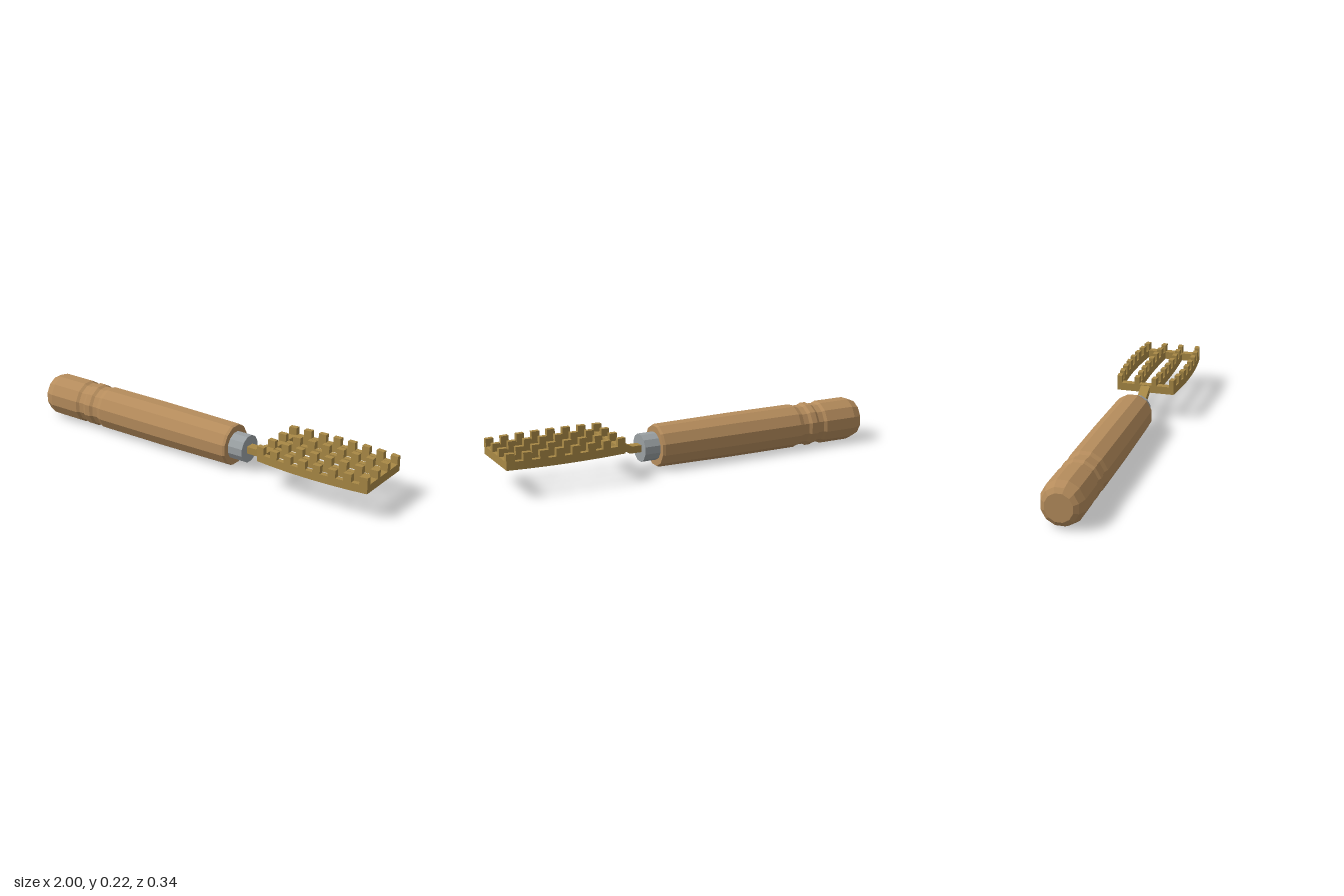
import * as THREE from 'three';
import { mergeGeometries } from 'three/addons/utils/BufferGeometryUtils.js';

const AXIS_Y = 0.108;

function flatMaterial(name, color) {
  const material = new THREE.MeshStandardMaterial({ color, flatShading: true });
  material.name = name;
  return material;
}

// Twelve-sided turned part along x; profile is [x, distance from axis to flat]
function turned(profile) {
  const k = 1 / Math.cos(Math.PI / 12);
  const points = profile.map(([x, r]) => new THREE.Vector2(r * k, x));
  return new THREE.LatheGeometry(points, 12, Math.PI / 12).rotateZ(-Math.PI / 2);
}

// Box given by its limits
function block(x0, x1, y0, y1, z0, z1, segments = 1) {
  return new THREE.BoxGeometry(x1 - x0, y1 - y0, z1 - z0, segments, 1, 1)
    .translate((x0 + x1) / 2, (y0 + y1) / 2, (z0 + z1) / 2);
}

export function createModel() {
  const model = new THREE.Group();
  const wood = flatMaterial('wood', 0xb58c5c);
  const steel = flatMaterial('steel', 0x9aa0a3);
  const brass = flatMaterial('brass', 0xa88845);

  function add(name, geometry, material, parent = model) {
    const mesh = new THREE.Mesh(geometry, material);
    mesh.name = name;
    parent.add(mesh);
    return mesh;
  }

  // Wooden handle with rounded butt and two grooves
  const handle = add('handle', turned([
    [-1, 0], [-1, 0.066], [-0.985, 0.088], [-0.94, 0.104],
    [-0.77, 0.104], [-0.755, 0.096], [-0.725, 0.096],
    [-0.71, 0.104], [-0.68, 0.104], [-0.665, 0.096], [-0.635, 0.096],
    [-0.61, 0.1045], [-0.25, 0.1045], [0.165, 0.1], [0.178, 0.096], [0.178, 0],
  ]), wood);
  handle.scale.y = 1.033;
  handle.position.y = AXIS_Y;

  // Metal collar
  const collar = add('collar', turned([[0.17, 0], [0.17, 0.068], [0.26, 0.068], [0.26, 0]]), steel);
  collar.position.y = AXIS_Y;

  // Bent square neck
  const neck = new THREE.Shape([
    [0.25, 0.092], [0.32, 0.092], [0.41, 0.14], [0.41, 0.178], [0.31, 0.127], [0.25, 0.127],
  ].map(([x, y]) => new THREE.Vector2(x, y)));
  add('neck', new THREE.ExtrudeGeometry(neck, { depth: 0.048, bevelEnabled: false })
    .translate(0, 0, -0.024), brass);

  // Head: two end bars and four bowed, toothed rails
  const head = new THREE.Group();
  head.name = 'head';
  model.add(head);
  const X0 = 0.405, X1 = 1, Y0 = 0.14, Y1 = 0.18, Y2 = 0.218;
  const step = (X1 - X0) / 15;

  function rail(inner, outer, bow, side) {
    const z0 = side > 0 ? inner : -outer;
    const z1 = side > 0 ? outer : -inner;
    const parts = [block(X0, X1, Y0, Y1, z0, z1, 15)];
    for (let i = 0; i < 15; i += 2) {
      parts.push(block(X0 + i * step, X0 + (i + 1) * step, Y1, Y2, z0, z1));
    }
    const geometry = mergeGeometries(parts);
    const p = geometry.attributes.position;
    for (let i = 0; i < p.count; i++) {
      const t = (2 * (p.getX(i) - X0)) / (X1 - X0) - 1;
      p.setZ(i, p.getZ(i) + side * bow * (1 - t * t));
    }
    geometry.computeVertexNormals();
    return geometry;
  }

  for (const side of [1, -1]) {
    const label = side > 0 ? 'Front' : 'Back';
    add('outerRail' + label, rail(0.127, 0.152, 0.02, side), brass, head);
    add('innerRail' + label, rail(0.033, 0.058, 0.01, side), brass, head);
  }
  add('nearBar', block(X0, X0 + 0.037, Y0, Y1, -0.15, 0.15), brass, head);
  add('farBar', block(X1 - 0.039, X1, Y0, Y1, -0.15, 0.15), brass, head);

  return model;
}
